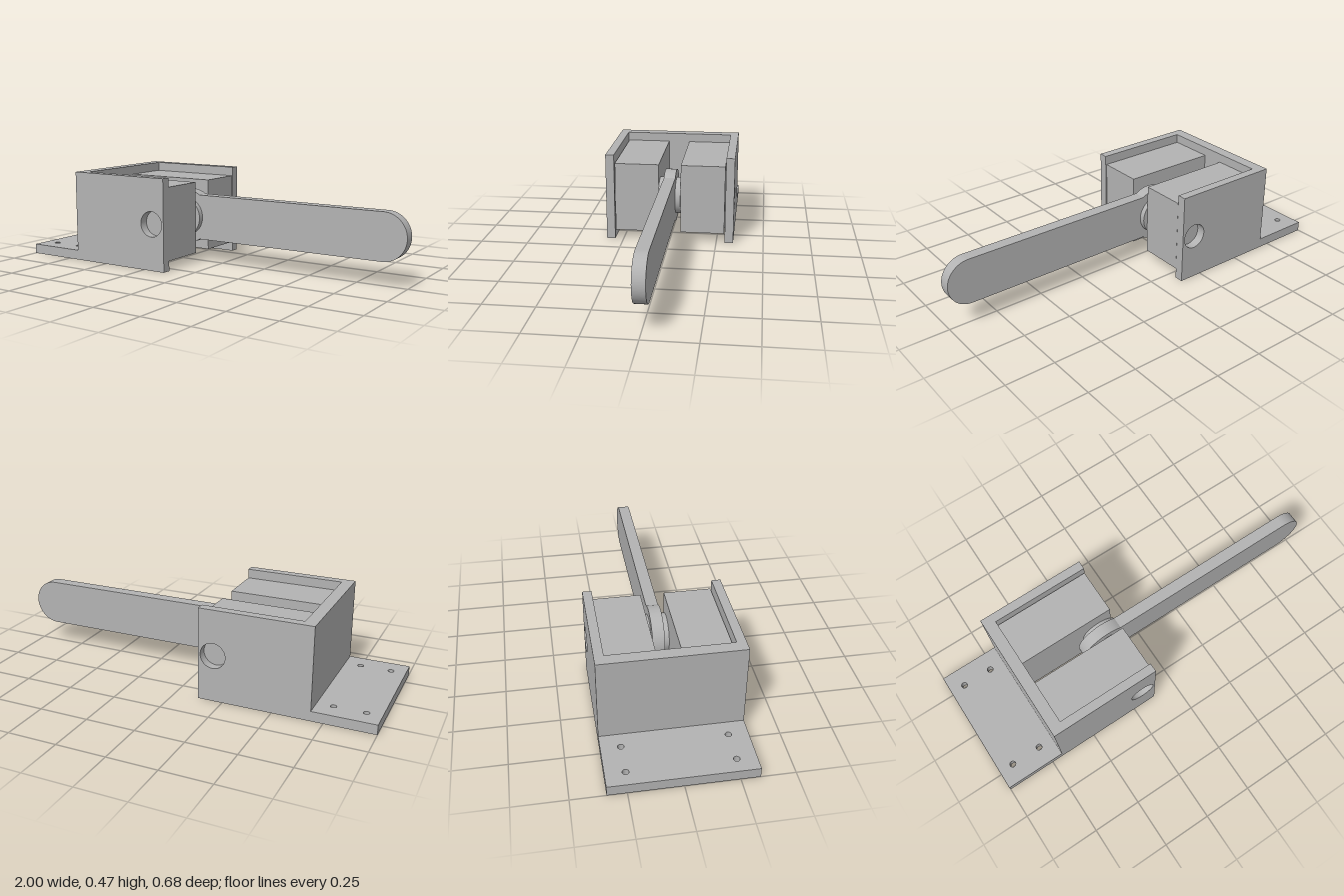
import * as THREE from 'three';

const PIVOT = { x: -0.2, y: 0.235 };

const circle = (x, y, r) => new THREE.Path().absarc(x, y, r, 0, Math.PI * 2, true);

const rect = (x0, y0, x1, y1) => new THREE.Shape()
  .moveTo(x0, y0).lineTo(x1, y0).lineTo(x1, y1).lineTo(x0, y1).closePath();

const extrude = (shape, depth) =>
  new THREE.ExtrudeGeometry(shape, { depth, bevelEnabled: false, curveSegments: 32 });

export function createModel() {
  const grey = new THREE.MeshStandardMaterial({ color: 0xb3b3b3 });
  grey.name = 'machinedGrey';
  const model = new THREE.Group();
  model.name = 'leverMechanism';

  const add = (name, geometry) => {
    const mesh = new THREE.Mesh(geometry, grey);
    mesh.name = name;
    model.add(mesh);
    return mesh;
  };
  const box = (name, x0, x1, y0, y1, z0, z1) =>
    add(name, new THREE.BoxGeometry(x1 - x0, y1 - y0, z1 - z0))
      .position.set((x0 + x1) / 2, (y0 + y1) / 2, (z0 + z1) / 2);

  // Mounting flange with four screw holes
  const flange = rect(-1, -0.34, -0.69, 0.34);
  for (const x of [-0.925, -0.77]) {
    for (const z of [-0.247, 0.247]) flange.holes.push(circle(x, z, 0.015));
  }
  const flangeGeometry = extrude(flange, 0.05);
  flangeGeometry.rotateX(-Math.PI / 2);
  add('mountingFlange', flangeGeometry);

  // Housing: back wall and two side walls with pivot holes, open above and below
  box('housingBackWall', -0.69, -0.63, 0, 0.466, -0.295, 0.295);
  for (const side of [1, -1]) {
    const label = side > 0 ? 'front' : 'back';
    const wall = rect(-0.69, 0, -0.125, 0.466);
    wall.holes.push(circle(PIVOT.x, PIVOT.y, 0.064));
    add(label + 'SideWall', extrude(wall, 0.045)).position.z = side > 0 ? 0.295 : -0.34;

    // Inner block beside the lever
    const z = [side * 0.058, side * 0.291].sort((a, b) => a - b);
    box(label + 'InnerBlock', -0.63, -0.128, 0.05, 0.42, z[0], z[1]);
  }

  // Lever: round eye flowing into a straight bar with a rounded tip
  const eye = 0.139, half = 0.116;
  const angle = Math.asin(half / eye);
  const lever = new THREE.Shape();
  lever.absarc(0, 0, eye, angle, Math.PI * 2 - angle, false);
  lever.absarc(1 - half - PIVOT.x, 0, half, -Math.PI / 2, Math.PI / 2, false);
  lever.closePath();
  add('lever', extrude(lever, 0.06)).position.set(PIVOT.x, PIVOT.y, -0.03);

  // Hub spacing the lever from the blocks
  const hub = new THREE.CylinderGeometry(0.096, 0.096, 0.116, 64);
  hub.rotateX(Math.PI / 2);
  add('leverHub', hub).position.set(PIVOT.x, PIVOT.y, 0);

  return model;
}
